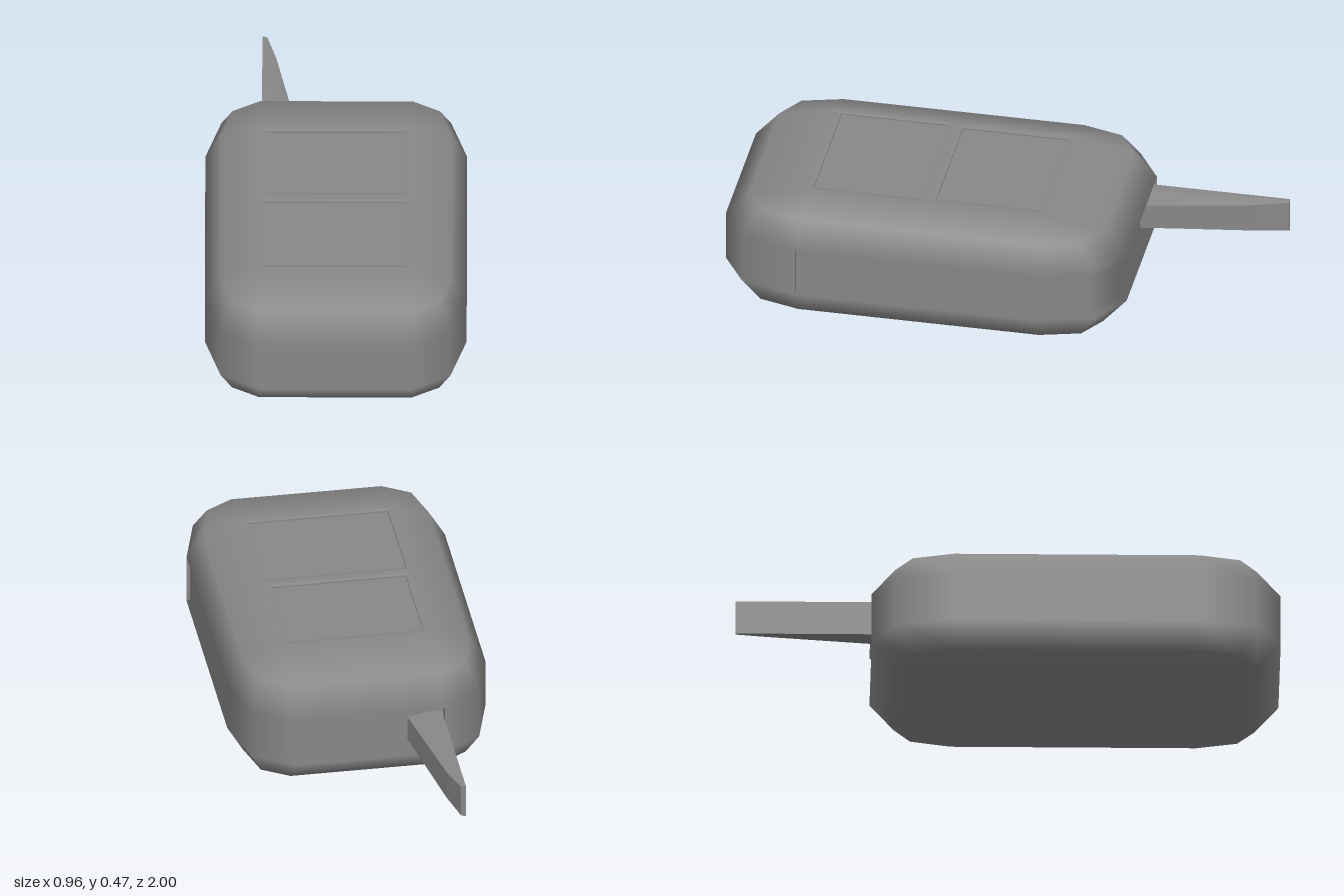
import * as THREE from 'three';

const GREY = { color: 0x888888 };
const smooth = new THREE.MeshStandardMaterial(GREY);
const flat = new THREE.MeshStandardMaterial({ ...GREY, flatShading: true });
const flatDouble = new THREE.MeshStandardMaterial({ ...GREY, flatShading: true, side: THREE.DoubleSide });

// Core of the rounded shell (corner centres) and its corner radii
const CX = 0.28, Z0 = -0.2, Z1 = 0.7, Y0 = 0.14, Y1 = 0.33;
const RX = 0.2, RY = 0.14, RZ = 0.3, TOP = Y1 + RY;
const SLOT_START = 8, SLOT_SPAN = 4;

// Surface through rows of [x, y, z] points; skip(row, column) leaves a quad out
function loft(rows, normals, skip = () => false) {
  const n = rows[0].length, index = [];
  for (let r = 0; r < rows.length - 1; r++) {
    for (let i = 0; i < n - 1; i++) {
      if (skip(r, i)) continue;
      const a = r * n + i, d = a + n;
      index.push(a, d, d + 1, a, d + 1, a + 1);
    }
  }
  const g = new THREE.BufferGeometry();
  g.setAttribute('position', new THREE.Float32BufferAttribute(rows.flat(2), 3));
  g.setIndex(index);
  if (normals) g.setAttribute('normal', new THREE.Float32BufferAttribute(normals, 3));
  else g.computeVertexNormals();
  return g;
}

function add(group, name, geometry, material) {
  const mesh = new THREE.Mesh(geometry, material);
  mesh.name = name;
  group.add(mesh);
}

const rect = (x0, x1, z0, z1, y) =>
  [[x1, y, z1], [x0, y, z1], [x0, y, z0], [x1, y, z0], [x1, y, z1]];

const path = (points) => points.slice(0, 4).map(([x, , z]) => new THREE.Vector2(x, -z));

function horizontal(outline, holes = []) {
  const shape = new THREE.Shape(path(outline));
  shape.holes = holes.map((h) => new THREE.Path(path(h)));
  return new THREE.ShapeGeometry(shape).rotateX(-Math.PI / 2).translate(0, outline[0][1], 0);
}

// One outline of the shell at latitude phi: four corners of three points each
function ring(phi, y) {
  const points = [], normals = [];
  for (let k = 0; k <= 12; k++) {
    const q = Math.floor((k % 12) / 3), t = (q + (k % 3) / 2) * Math.PI / 2;
    const cx = q === 0 || q === 3 ? CX : -CX, cz = q < 2 ? Z1 : Z0;
    const c = Math.cos(phi) * Math.cos(t), s = Math.cos(phi) * Math.sin(t);
    points.push([cx + RX * c, y + RY * Math.sin(phi), cz + RZ * s]);
    normals.push(new THREE.Vector3(c / RX, Math.sin(phi) / RY, s / RZ).normalize().toArray());
  }
  return { points, normals };
}

export function createModel() {
  const model = new THREE.Group();
  model.name = 'foldingKey';

  // Rounded shell, open where the blade slot runs
  const h = Math.PI / 2, q = Math.PI / 4;
  const rings = [[-h, Y0], [-q, Y0], [0, Y0], [0, Y1], [q, Y1], [h, Y1]].map(([p, y]) => ring(p, y));
  const inSlot = (r, i) => r === 2 && i >= SLOT_START && i < SLOT_START + SLOT_SPAN;
  add(model, 'shell', loft(rings.map((r) => r.points), rings.flatMap((r) => r.normals.flat()), inSlot), smooth);

  // Flat underside
  add(model, 'underside', horizontal(rect(-CX, CX, Z0, Z1, 0)).rotateX(Math.PI)
    .translate(0, 0, Z0 + Z1), smooth);

  // Slot: shallow channel around the back and one side, softly shaded into its lips
  const floorXZ = [[-0.28, -0.465], [0.28, -0.465], [0.405, -0.385], [0.468, -0.2], [0.468, 0.7]];
  const along = (list) => list.slice(SLOT_START, SLOT_START + SLOT_SPAN + 1);
  const inner = (y) => floorXZ.map(([x, z]) => [x, y, z]);
  const slotRows = [along(rings[2].points), inner(Y0 + 0.008), inner(Y1), along(rings[3].points)];
  const slot = new THREE.Group();
  slot.name = 'bladeSlot';
  add(slot, 'slotChannel', loft(slotRows, slotRows.flatMap(() => along(rings[2].normals).flat())), smooth);
  for (const e of [0, SLOT_SPAN]) {
    const [low, lowIn, highIn, high] = slotRows.map((row) => row[e]);
    add(slot, 'slotEnd', loft([[low, lowIn], [high, highIn]]), flatDouble);
  }
  model.add(slot);

  // Two buttons sunk slightly into the top panel: soft rim, then a small step
  const buttons = [
    { rim: [-0.273, 0.262, -0.185, 0.232], face: [-0.255, 0.243, -0.168, 0.22] },
    { rim: [-0.275, 0.27, 0.258, 0.69], face: [-0.265, 0.253, 0.275, 0.677] },
  ];
  const rims = buttons.map((b) => rect(...b.rim, TOP));
  add(model, 'topPanel', horizontal(rect(-CX, CX, Z0, Z1, TOP), rims), smooth);
  buttons.forEach((b, i) => {
    const ledge = rect(...b.face, TOP - 0.003), face = rect(...b.face, TOP - 0.009);
    add(model, 'buttonRim', loft([rims[i], ledge]), flat);
    add(model, 'buttonStep', loft([ledge, face]), flat);
    add(model, 'button', horizontal(face), flat);
  });

  // Tapering blade: six-sided sections from tip to root
  const section = (z, xm, xr, bevel) => {
    const xl = -0.273, lo = 0.17, hi = 0.3;
    return [[xl, lo], [xl, hi], [xm, hi], [xr, hi - bevel], [xr, lo + bevel], [xm, lo], [xl, lo]]
      .map(([x, y]) => [x, y, z]);
  };
  const tip = section(-1, -0.265, -0.255, 0.004);
  const blade = new THREE.Group();
  blade.name = 'blade';
  add(blade, 'bladeSides',
    loft([tip, section(-0.88, -0.258, -0.222, 0.01), section(-0.44, -0.225, -0.142, 0.018)]), flat);
  const cap = new THREE.BufferGeometry();
  cap.setAttribute('position', new THREE.Float32BufferAttribute(tip.slice(0, 6).flat(), 3));
  cap.setIndex([0, 1, 2, 0, 2, 3, 0, 3, 4, 0, 4, 5]);
  cap.computeVertexNormals();
  add(blade, 'bladeTip', cap, flat);
  model.add(blade);

  return model;
}
